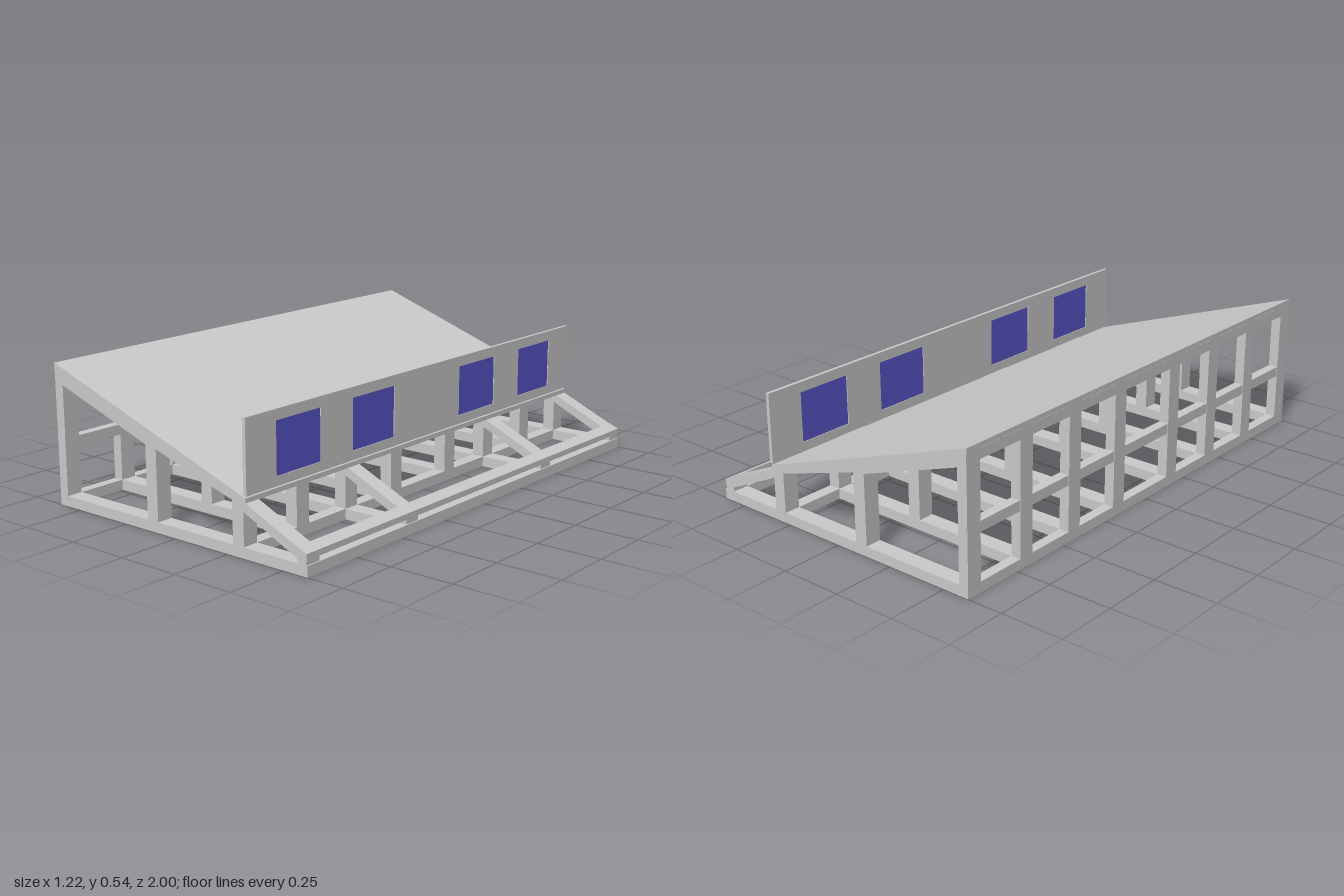
import * as THREE from 'three';

const grey = new THREE.MeshStandardMaterial({ color: 0xcccccc, flatShading: true });
const blue = new THREE.MeshStandardMaterial({ color: 0x5a55cc, flatShading: true });

// Height of the sloping roof surface at x
const roofY = (x) => 0.54 - 0.346 * (x + 0.61);

function toShape(points) {
  return new THREE.Shape(points.map(([x, y]) => new THREE.Vector2(x, y)));
}

// Extrudes an x-y outline along z, centred on z
function slab(name, points, holes, z, depth) {
  const shape = toShape(points);
  shape.holes = holes.map(toShape);
  const geometry = new THREE.ExtrudeGeometry(shape, { depth, bevelEnabled: false });
  geometry.translate(0, 0, z - depth / 2);
  const mesh = new THREE.Mesh(geometry, grey);
  mesh.name = name;
  return mesh;
}

// Box given by its limits
function box(name, [x0, x1], [y0, y1], [z0, z1], material = grey) {
  const mesh = new THREE.Mesh(new THREE.BoxGeometry(x1 - x0, y1 - y0, z1 - z0), material);
  mesh.position.set((x0 + x1) / 2, (y0 + y1) / 2, (z0 + z1) / 2);
  mesh.name = name;
  return mesh;
}

// One transverse frame; long frames carry on to the low front edge
function crossFrame(z, long) {
  const holes = [
    [[-0.568, 0.04], [-0.14, 0.04], [-0.14, 0.315], [-0.568, 0.462]],
    [[-0.088, 0.04], [0.274, 0.04], [0.274, 0.196], [-0.088, 0.306]],
  ];
  const outline = [[-0.608, 0]];
  if (long) {
    outline.push([0.6, 0], [0.6, 0.08], [0.56, 0.096], [0.325, 0.2]);
    holes.push([[0.324, 0.04], [0.56, 0.04], [0.56, 0.056], [0.324, 0.165]]);
  } else {
    outline.push([0.324, 0]);
  }
  outline.push([0.324, roofY(0.324) - 0.01], [-0.608, roofY(-0.608) - 0.01]);
  return slab(long ? 'longCrossFrame' : 'shortCrossFrame', outline, holes, z, 0.065);
}

export function createModel() {
  const model = new THREE.Group();
  model.name = 'stand';
  const full = [-1, 1];

  // Eight cross frames, every one of four spacings mirrored in z
  const frames = new THREE.Group();
  frames.name = 'crossFrames';
  for (const side of [-1, 1]) {
    for (const [z, long] of [[0.967, true], [0.7, false], [0.435, true], [0.17, false]]) {
      frames.add(crossFrame(side * z, long));
    }
  }
  model.add(frames);

  // Sloping deck
  model.add(slab('slopingDeck', [
    [-0.61, roofY(-0.61) - 0.018], [0.335, roofY(0.335) - 0.018],
    [0.335, roofY(0.335)], [-0.61, roofY(-0.61)],
  ], [], 0, 2));

  // Lengthwise rails
  model.add(
    box('rearSill', [-0.608, -0.568], [0, 0.04], full),
    box('rearMiddleRail', [-0.606, -0.568], [0.22, 0.26], full),
    box('rearHeader', [-0.608, -0.568], [0.48, 0.52], full),
    box('innerSill', [0.274, 0.324], [0, 0.04], full),
    box('innerHeader', [0.274, 0.326], [0.198, 0.214], full),
    box('frontSill', [0.56, 0.605], [0, 0.04], full),
    slab('frontRail', [[0.56, 0.058], [0.602, 0.058], [0.602, 0.08], [0.56, 0.097]], [], 0, 2),
  );

  // Upright board with four window openings, drawn in the z-y plane
  const windows = [[-0.85, -0.62], [-0.445, -0.205], [0.205, 0.445], [0.62, 0.85]];
  const [low, high] = [0.255, 0.45];
  const board = slab('uprightBoard',
    [[-1, 0.22], [1, 0.22], [1, 0.49], [-1, 0.49]],
    windows.map(([a, b]) => [[a, low], [b, low], [b, high], [a, high]]), 0, 0.014);
  board.rotation.y = Math.PI / 2;
  board.position.x = 0.333;
  model.add(board);

  // Coloured panes
  for (const span of windows) {
    model.add(box('windowPane', [0.329, 0.337], [low, high], span, blue));
  }
  return model;
}
